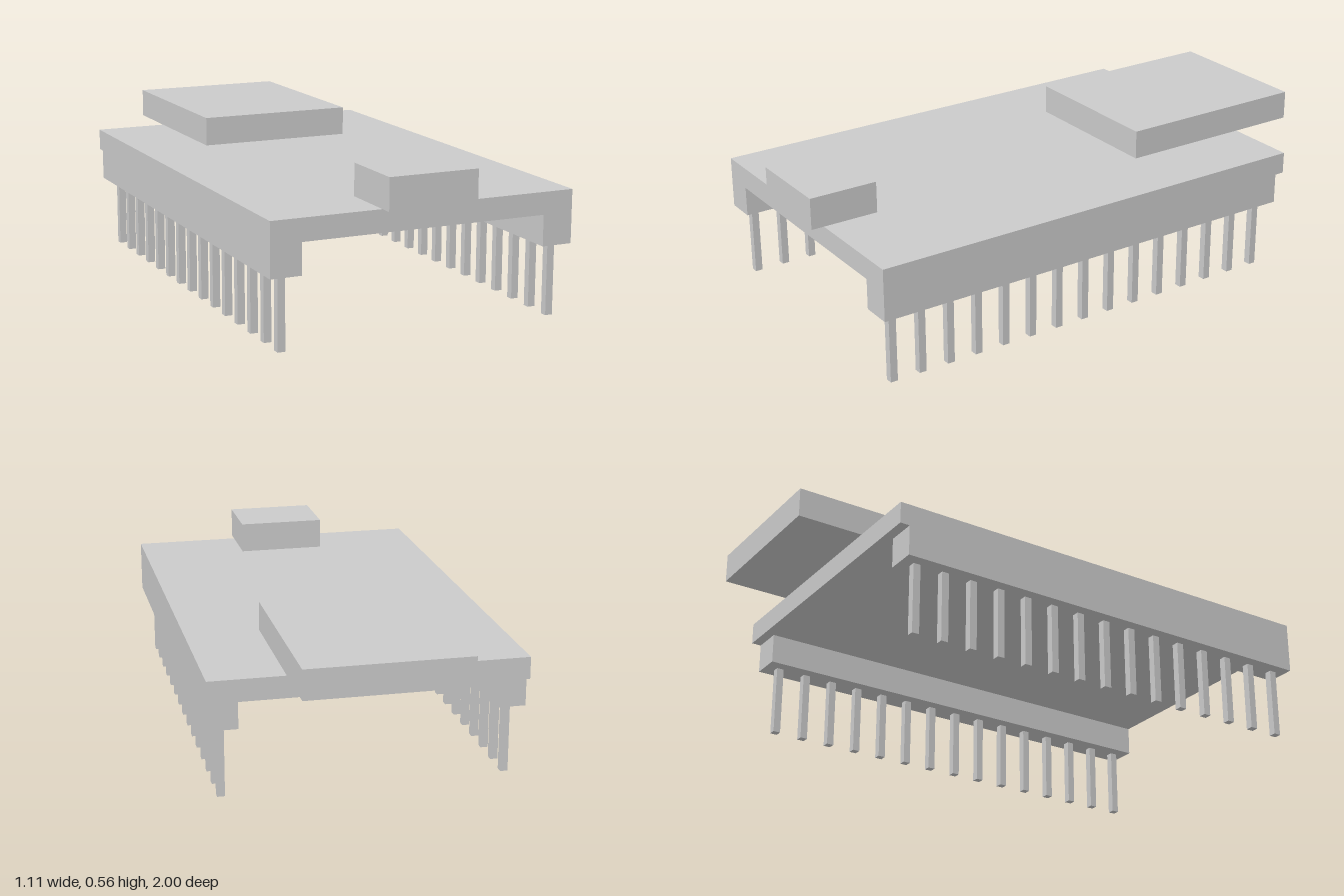
import * as THREE from 'three';

export function createModel() {
  const model = new THREE.Group();
  const material = new THREE.MeshStandardMaterial({ color: 0xcccccc, flatShading: true });

  // Box given by its extents along each axis
  function block(name, [x0, x1], [y0, y1], [z0, z1], parent = model) {
    const mesh = new THREE.Mesh(new THREE.BoxGeometry(x1 - x0, y1 - y0, z1 - z0), material);
    mesh.position.set((x0 + x1) / 2, (y0 + y1) / 2, (z0 + z1) / 2);
    mesh.name = name;
    parent.add(mesh);
  }

  // Circuit board with the parts mounted on top
  block('board', [-0.557, 0.557], [0.367, 0.446], [-0.758, 0.953]);
  block('radioModule', [-0.288, 0.288], [0.446, 0.552], [-1, -0.273]);
  block('cableSocket', [-0.163, 0.163], [0.446, 0.56], [0.747, 1]);

  // Pin header under each long edge
  const pinCount = 15, pitch = 0.112, firstPin = 0.902, half = 0.0135;
  for (const [side, label] of [[1, 'left'], [-1, 'right']]) {
    const header = new THREE.Group();
    header.name = label + 'PinHeader';
    const inner = side * 0.446, outer = side * 0.557;
    block('headerStrip', [Math.min(inner, outer), Math.max(inner, outer)], [0.257, 0.367], [-0.722, 0.953], header);
    for (let i = 0; i < pinCount; i++) {
      const x = side * 0.502, z = firstPin - i * pitch;
      block('pin', [x - half, x + half], [0, 0.257], [z - half, z + half], header);
    }
    model.add(header);
  }

  return model;
}
